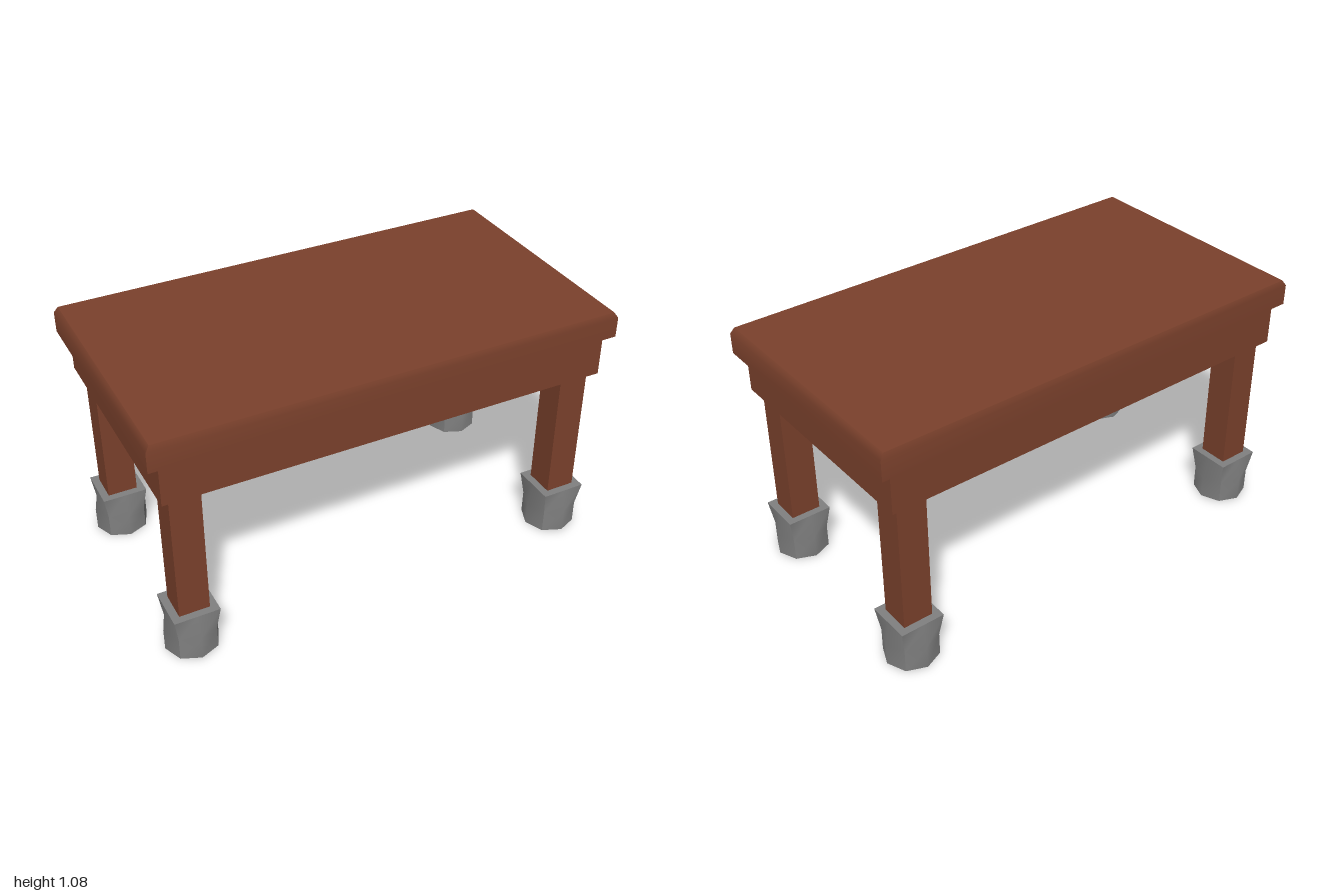
import * as THREE from 'three';
import { mergeGeometries } from 'three/addons/utils/BufferGeometryUtils.js';

const wood = new THREE.MeshStandardMaterial({ color: 0x7b412c });
const stone = new THREE.MeshStandardMaterial({ color: 0x808080 });

// Smooth patch through rows of [x, y, z] points, rows bottom to top, points left to right
function patch(rows) {
  const n = rows[0].length, index = [];
  for (let r = 0; r < rows.length - 1; r++) {
    for (let c = 0; c < n - 1; c++) {
      const a = r * n + c, b = a + n;
      index.push(a, a + 1, b + 1, a, b + 1, b);
    }
  }
  const g = new THREE.BufferGeometry();
  g.setAttribute('position', new THREE.Float32BufferAttribute(rows.flat(2), 3));
  g.setIndex(index);
  g.computeVertexNormals();
  return g;
}

function mesh(name, geometry, material) {
  const m = new THREE.Mesh(geometry, material);
  m.name = name;
  return m;
}

function box(name, w, h, d, x, y, z) {
  const m = mesh(name, new THREE.BoxGeometry(w, h, d), wood);
  m.position.set(x, y, z);
  return m;
}

// Tabletop: stacked rectangles [halfX, y, halfZ], soft upper chamfer, sharp lower bevel
function tabletopGeometry() {
  const foot = [0.955, 0.945, 0.512], low = [1, 0.962, 0.535];
  const high = [1, 1.05, 0.535], crown = [0.983, 1.075, 0.527];
  const corners = [[-1, 1], [1, 1], [1, -1], [-1, -1]];
  const at = ([hx, y, hz], k) => [corners[k % 4][0] * hx, y, corners[k % 4][1] * hz];
  const parts = [];
  for (let k = 0; k < 4; k++) {
    for (const band of [[foot, low], [low, high, crown]]) {
      parts.push(patch(band.map((r) => [at(r, k), at(r, k + 1)])));
    }
  }
  parts.push(patch([[at(crown, 0), at(crown, 1)], [at(crown, 3), at(crown, 2)]]));
  parts.push(patch([[at(foot, 3), at(foot, 2)], [at(foot, 0), at(foot, 1)]]));
  return mergeGeometries(parts);
}

// Foot: octagonal base blending into a square top
function footGeometry() {
  const R = 0.114, d = R * Math.SQRT1_2, s = 0.096, h = 0.205;
  const octagon = (y) => [[-d, y, d], [0, y, R], [d, y, d]];
  const rows = [octagon(0), octagon(0.1), [[-s, h, s], [0, h, s], [s, h, s]]];
  const parts = [];
  for (let k = 0; k < 4; k++) parts.push(patch(rows).rotateY(k * Math.PI / 2));
  parts.push(patch([[[-s, h, s], [s, h, s]], [[-s, h, -s], [s, h, -s]]]));
  const base = new THREE.CircleGeometry(R, 8).rotateX(Math.PI / 2);
  base.deleteAttribute('uv');
  parts.push(base);
  return mergeGeometries(parts);
}

export function createModel() {
  const table = new THREE.Group();
  table.name = 'table';
  table.add(mesh('tabletop', tabletopGeometry(), wood));

  // Hollow apron frame
  const t = 0.02, h = 0.16, y = 0.865;
  for (const side of [-1, 1]) {
    table.add(box(side > 0 ? 'frontApron' : 'backApron', 1.91, h, t, 0, y, side * (0.512 - t / 2)));
    table.add(box(side > 0 ? 'leftApron' : 'rightApron', t, h, 1.024 - 2 * t, side * (0.955 - t / 2), y, 0));
  }

  // Legs standing in feet
  const footShape = footGeometry();
  for (const sx of [-1, 1]) {
    for (const sz of [-1, 1]) {
      const place = (sz > 0 ? 'front' : 'back') + (sx > 0 ? 'Left' : 'Right');
      const x = sx * 0.857, z = sz * 0.419;
      table.add(box(place + 'Leg', 0.128, 0.785, 0.128, x, 0.5525, z));
      const foot = mesh(place + 'Foot', footShape, stone);
      foot.position.set(x, 0, z);
      table.add(foot);
    }
  }
  return table;
}
